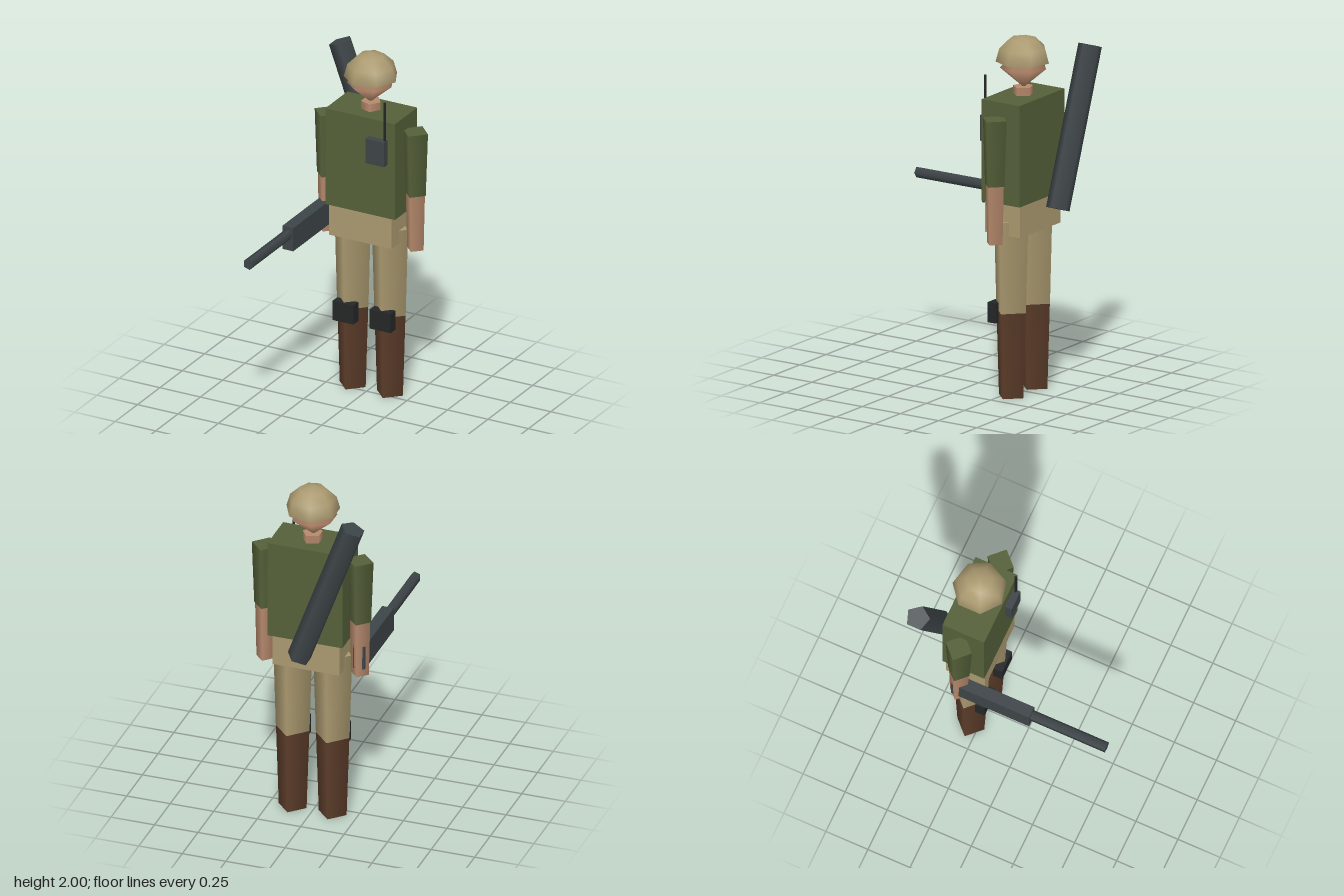
import * as THREE from 'three';

const mat = (name, color, side = THREE.FrontSide) => {
  const m = new THREE.MeshStandardMaterial({ color, side });
  m.name = name;
  return m;
};

export function createModel() {
  const green = mat('olive', 0x556039);
  const tan = mat('khaki', 0xab9a70, THREE.DoubleSide);
  const skin = mat('skin', 0xb78a6d);
  const brown = mat('boot brown', 0x5c3d2a);
  const black = mat('pad black', 0x252627);
  const metal = mat('gunmetal', 0x3e4548);

  const model = new THREE.Group();
  model.name = 'soldier';
  const CX = 0.005, CZ = -0.295; // body axis

  const add = (name, geometry, material, x, y, z) => {
    const mesh = new THREE.Mesh(geometry, material);
    mesh.name = name;
    mesh.position.set(x, y, z);
    model.add(mesh);
    return mesh;
  };
  // box given by its extents
  const box = (name, material, x0, x1, y0, y1, z0, z1) =>
    add(name, new THREE.BoxGeometry(x1 - x0, y1 - y0, z1 - z0), material,
      (x0 + x1) / 2, (y0 + y1) / 2, (z0 + z1) / 2);
  // low-sided prism with a corner on +x
  const prism = (rTop, rBottom, height, sides) =>
    new THREE.CylinderGeometry(rTop, rBottom, height, sides).rotateY(Math.PI / 2);
  const limb = (name, material, x, y0, y1, rTop, rBottom) =>
    add(name, prism(rTop, rBottom, y1 - y0, 4), material, x, (y0 + y1) / 2, CZ);

  // trunk
  box('vest', green, -0.21, 0.22, 1.1, 1.67, -0.418, -0.17);
  box('hips', tan, -0.19, 0.195, 0.92, 1.1, -0.405, -0.175);

  // neck, head and open helmet
  add('neck', prism(0.057, 0.057, 0.11, 5), skin, CX, 1.66, CZ);
  const head = new THREE.SphereGeometry(0.13, 7, 2).rotateY(Math.PI);
  head.scale(1, 0.87, 1);
  add('head', head, skin, 0, 1.82, CZ);
  const helmet = new THREE.SphereGeometry(0.15, 7, 3, 0, Math.PI * 2, 0, Math.PI / 2).rotateY(Math.PI);
  helmet.scale(1, 0.97, 1);
  add('helmet', helmet, tan, CX, 1.855, CZ);

  // arms and legs
  for (const [side, s] of [['left', 1], ['right', -1]]) {
    const ax = CX + s * 0.272;
    limb(side + 'Sleeve', green, ax, 1.22, 1.59, 0.078, 0.064);
    limb(side + 'Forearm', skin, ax, 0.893, 1.22, 0.059, 0.051);
    const lx = CX + s * 0.115;
    limb(side + 'Trouser', tan, lx, 0.48, 0.995, 0.112, 0.097);
    limb(side + 'Boot', brown, lx, 0, 0.48, 0.096, 0.08);
    box(side + 'KneePad', black, lx - 0.065, lx + 0.065, 0.412, 0.525, -0.24, -0.185);
  }

  // chest radio
  box('radio', metal, 0.06, 0.175, 1.42, 1.565, -0.172, -0.13);
  add('antenna', prism(0.007, 0.007, 0.25, 5), black, 0.165, 1.667, -0.155);

  // rifle held through the right hand
  box('rifleBody', metal, -0.304, -0.237, 0.937, 1.075, -0.325, 0.14);
  add('rifleBarrel', prism(0.031, 0.031, 0.455, 5).rotateX(Math.PI / 2), metal, -0.27, 1.03, 0.358);

  // tube slung across the back
  const tube = add('backTube', prism(0.068, 0.068, 0.905, 5), metal, -0.153, 1.483, -0.521);
  tube.rotation.z = THREE.MathUtils.degToRad(20);

  return model;
}
